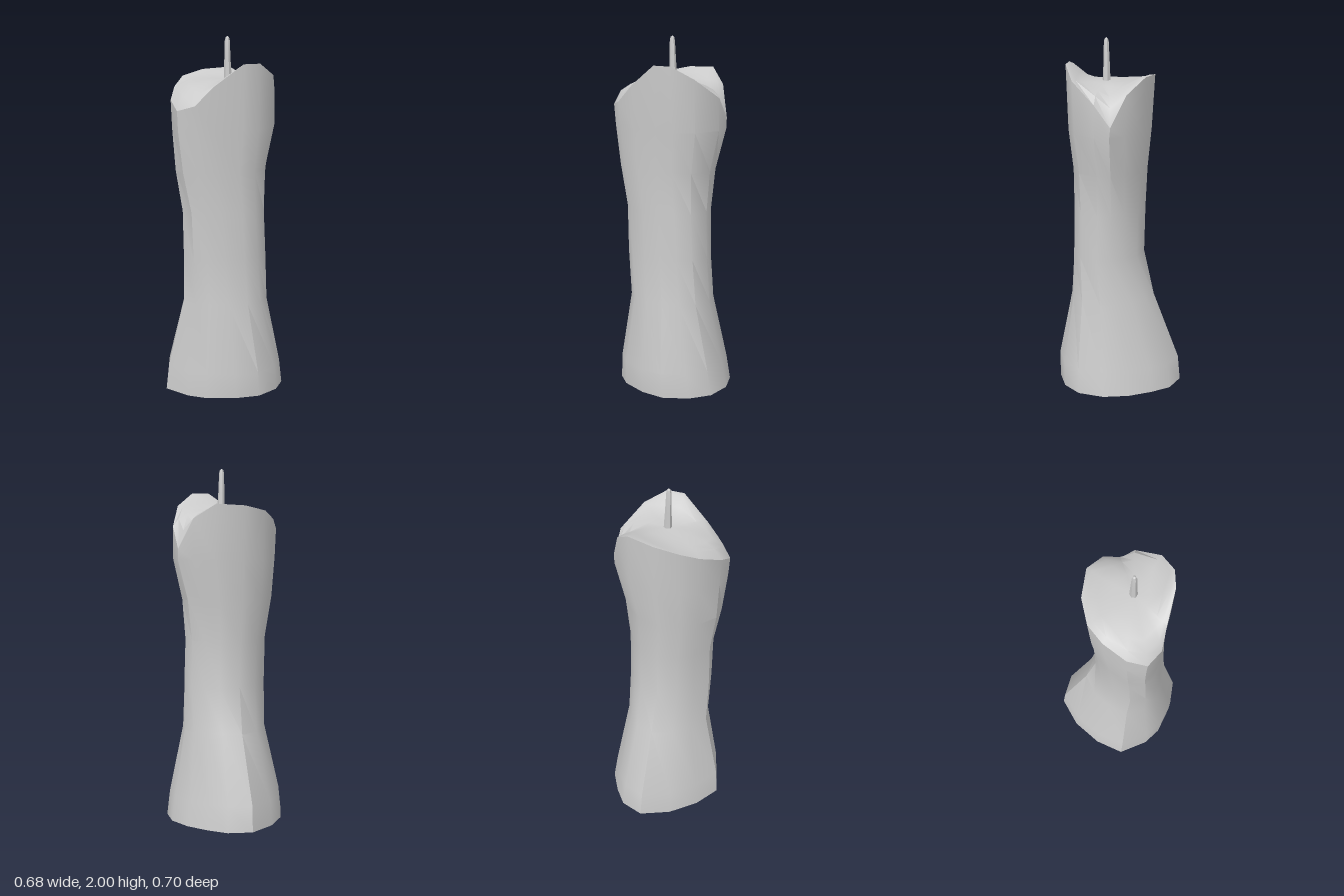
import * as THREE from 'three';
import { toCreasedNormals } from 'three/addons/utils/BufferGeometryUtils.js';

// Skin a stack of rings of [x, y, z] points; a ring of one point closes an end.
function loft(rings, crease) {
  const pos = [];
  const n = Math.max(...rings.map((r) => r.length));
  const at = (r, j) => r[r.length === 1 ? 0 : j % n];
  for (let i = 0; i < rings.length - 1; i++) {
    const lo = rings[i], hi = rings[i + 1];
    for (let j = 0; j < n; j++) {
      const a = at(lo, j), b = at(lo, j + 1), c = at(hi, j), d = at(hi, j + 1);
      if (hi.length > 1) pos.push(...a, ...c, ...d);
      if (lo.length > 1) pos.push(...a, ...d, ...b);
    }
  }
  const geometry = new THREE.BufferGeometry();
  geometry.setAttribute('position', new THREE.Float32BufferAttribute(pos, 3));
  return toCreasedNormals(geometry, crease);
}

// Outline of the foot, clockwise from the back: [x, z]
const FOOT = [
  [-0.01, -0.35], [0.125, -0.315], [0.21, -0.225], [0.29, -0.11], [0.337, 0.03],
  [0.32, 0.18], [0.235, 0.285], [0.1, 0.35], [-0.04, 0.335], [-0.19, 0.27],
  [-0.27, 0.19], [-0.34, 0.035], [-0.275, -0.12], [-0.16, -0.26],
];

// Uneven melted rim in the same order: [x, y, z]
const RIM = [
  [-0.025, 1.8, -0.185], [0.135, 1.81, -0.165], [0.24, 1.73, -0.085], [0.305, 1.56, -0.01],
  [0.305, 1.68, 0.08], [0.23, 1.79, 0.22], [0.12, 1.86, 0.285], [0.02, 1.86, 0.293],
  [-0.14, 1.74, 0.255], [-0.24, 1.64, 0.235], [-0.315, 1.61, 0.165], [-0.31, 1.66, 0.055],
  [-0.24, 1.72, -0.07], [-0.16, 1.77, -0.15],
];

// Height, extents of the body (x min, x max, z min, z max), blend from foot to rim outline
const LEVELS = [
  [0, -0.34, 0.337, -0.35, 0.345, 0],
  [0.14, -0.328, 0.316, -0.336, 0.35, 0],
  [0.52, -0.243, 0.245, -0.19, 0.28, 0.3],
  [0.78, -0.247, 0.24, -0.13, 0.268, 0.5],
  [1.04, -0.25, 0.233, -0.135, 0.263, 0.6],
  [1.27, -0.287, 0.252, -0.143, 0.263, 0.8],
  [1.5, -0.308, 0.305, -0.168, 0.28, 1],
];

// Rescale an outline to the range -1..1 on both axes
function normalise(outline) {
  const box = new THREE.Box2().setFromPoints(outline.map(([x, z]) => new THREE.Vector2(x, z)));
  const c = box.getCenter(new THREE.Vector2()), s = box.getSize(new THREE.Vector2());
  return outline.map(([x, z]) => [((x - c.x) * 2) / s.x, ((z - c.y) * 2) / s.y]);
}

function bodyRings() {
  const low = normalise(FOOT), high = normalise(RIM.map(([x, , z]) => [x, z]));
  return LEVELS.map(([y, x0, x1, z0, z1, t]) => {
    const mixed = normalise(low.map(([x, z], i) => [
      THREE.MathUtils.lerp(x, high[i][0], t), THREE.MathUtils.lerp(z, high[i][1], t),
    ]));
    return mixed.map(([u, v]) => [(x0 + x1 + u * (x1 - x0)) / 2, y, (z0 + z1 + v * (z1 - z0)) / 2]);
  });
}

// Rim pulled toward the wick; sunken places recover to pool height faster than peaks
const POOL = [0.015, 1.765, 0.08];
const poolRing = (scale, rise, fall) => RIM.map(([x, y, z]) => [
  POOL[0] + (x - POOL[0]) * scale,
  THREE.MathUtils.lerp(y, POOL[1], y < POOL[1] ? rise : fall),
  POOL[2] + (z - POOL[2]) * scale,
]);

export function createModel() {
  const group = new THREE.Group();
  const add = (name, geometry) => {
    const material = new THREE.MeshStandardMaterial({ color: 0xcccccc });
    const mesh = new THREE.Mesh(geometry, material);
    mesh.name = name;
    group.add(mesh);
  };

  // Wax column from the flat underside up to the rim
  add('waxBody', loft([[[0, 0, 0]], ...bodyRings(), RIM], 0.6));

  // Rounded lip and the shallow pool of wax inside it
  add('waxPool', loft([
    RIM, poolRing(0.88, 0.5, 0.1), poolRing(0.7, 0.75, 0.6), poolRing(0.4, 0.95, 0.95), [POOL],
  ], 0.75));

  // Tapered six-sided wick with a small blunt tip: height, radius, x, z
  const wick = [
    [1.75, 0.023, 0.019, 0.08], [1.86, 0.018, 0.016, 0.08], [1.975, 0.014, 0.014, 0.082],
    [1.992, 0.01, 0.014, 0.082],
  ].map(([y, r, cx, cz]) => Array.from({ length: 6 }, (_, i) => {
    const a = (i * Math.PI) / 3;
    return [cx + r * Math.sin(a), y, cz - r * Math.cos(a)];
  }));
  add('wick', loft([...wick, [[0.014, 2, 0.082]]], 0.6));

  return group;
}
